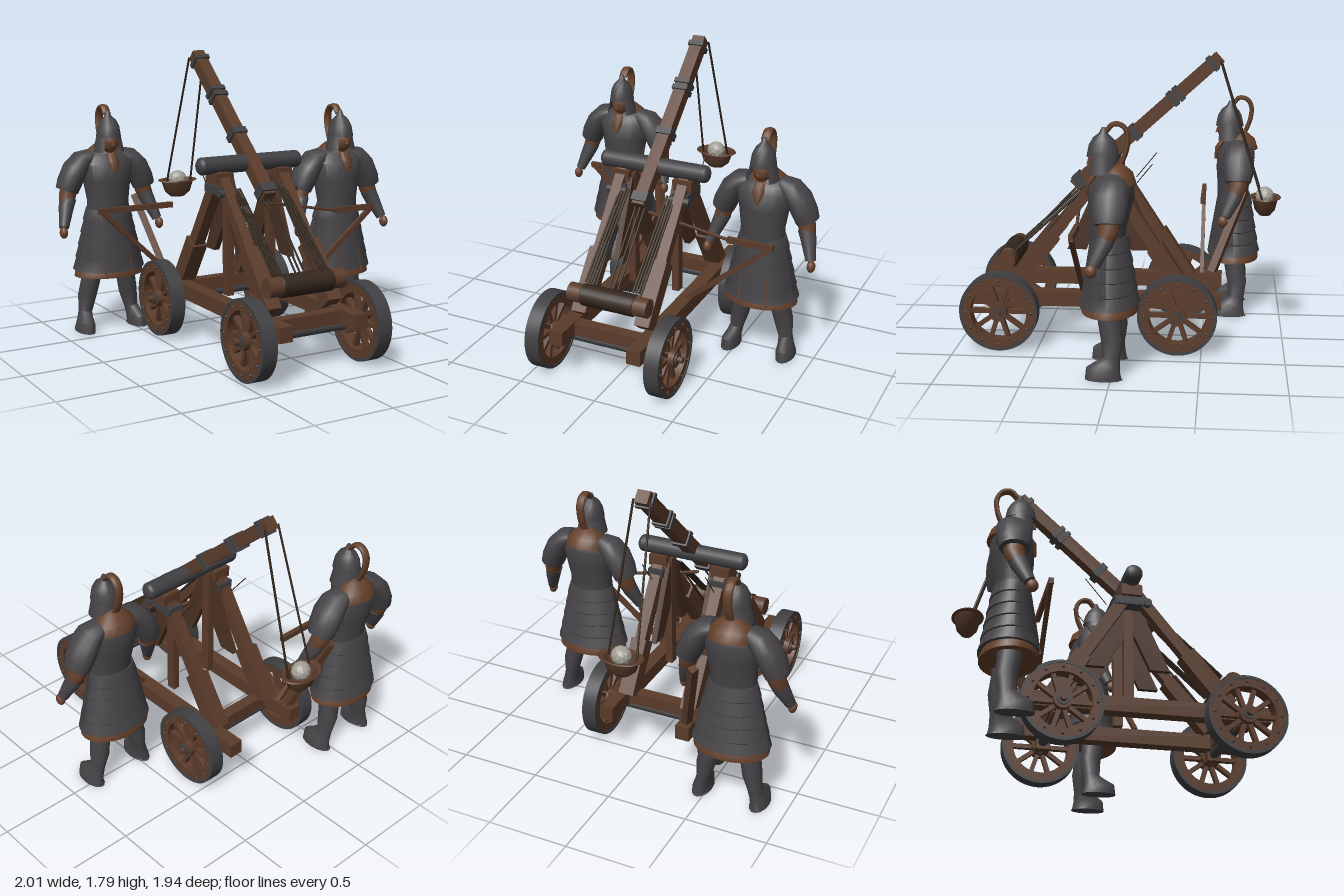
import * as THREE from 'three';
import { toCreasedNormals } from 'three/addons/utils/BufferGeometryUtils.js';

const V = (x, y, z) => new THREE.Vector3(x, y, z);
const CX = -0.043; // centre line of the engine

export function createModel() {
  const mat = (name, color, side = THREE.FrontSide) => {
    const m = new THREE.MeshStandardMaterial({ color, side });
    m.name = name;
    return m;
  };
  const wood = mat('wood', 0x5a3b2a);
  const darkWood = mat('dark wood', 0x4a3022);
  const rope = mat('rope', 0x33261c);
  const iron = mat('iron', 0x404043);
  const armour = mat('armour', 0x454346, THREE.DoubleSide);
  const cloth = mat('brown cloth', 0x64402a, THREE.DoubleSide);
  const skin = mat('skin', 0x6b432f);
  const stone = mat('stone', 0xa3a196);

  const model = new THREE.Group();
  const add = (parent, name, geo, m, x = 0, y = 0, z = 0) => {
    const mesh = new THREE.Mesh(geo, m);
    mesh.name = name;
    mesh.position.set(x, y, z);
    parent.add(mesh);
    return mesh;
  };
  const box = (p, name, w, h, d, m, x, y, z) => add(p, name, new THREE.BoxGeometry(w, h, d), m, x, y, z);
  // lays a geometry built along y between two points
  const span = (p, name, geo, m, a, b) => {
    const mesh = add(p, name, geo, m);
    mesh.position.copy(a).add(b).multiplyScalar(0.5);
    mesh.quaternion.setFromUnitVectors(V(0, 1, 0), b.clone().sub(a).normalize());
    return mesh;
  };
  const beam = (p, name, a, b, w, d, m = wood) => span(p, name, new THREE.BoxGeometry(w, a.distanceTo(b), d), m, a, b);
  const cord = (p, name, a, b, r = 0.006, m = rope) => span(p, name, new THREE.CylinderGeometry(r, r, a.distanceTo(b), 6), m, a, b);
  const barX = (p, name, r, len, m, x, y, z, seg = 16) => {
    const mesh = add(p, name, new THREE.CylinderGeometry(r, r, len, seg), m, x, y, z);
    mesh.rotation.z = Math.PI / 2;
    return mesh;
  };
  // closed skin over elliptical rings [x, y, z, halfWidth, halfDepth]
  const sweep = (rings, n = 18) => {
    const pos = [], idx = [], c = rings.map((r) => V(r[0], r[1], r[2])), last = rings.length - 1;
    rings.forEach((r, i) => {
      const t = c[Math.min(i + 1, last)].clone().sub(c[Math.max(i - 1, 0)]).normalize();
      const u = t.clone().cross(V(0, 0, 1)).normalize(), v = u.clone().cross(t);
      for (let j = 0; j < n; j++) {
        const a = (j / n) * Math.PI * 2;
        pos.push(...c[i].clone().addScaledVector(u, Math.cos(a) * r[3]).addScaledVector(v, Math.sin(a) * r[4]).toArray());
      }
    });
    const s = pos.length / 3;
    pos.push(...c[0].toArray(), ...c[last].toArray());
    for (let j = 0; j < n; j++) {
      const k = (j + 1) % n;
      for (let i = 0; i < last; i++) {
        const a = i * n + j, b = i * n + k;
        idx.push(a, a + n, b, b, a + n, b + n);
      }
      idx.push(s, j, k, s + 1, last * n + k, last * n + j);
    }
    const g = new THREE.BufferGeometry();
    g.setAttribute('position', new THREE.Float32BufferAttribute(pos, 3));
    g.setIndex(idx);
    g.computeVertexNormals();
    return toCreasedNormals(g, 0.8);
  };

  // ---- Carriage ----
  const carriage = new THREE.Group();
  carriage.name = 'carriage';
  model.add(carriage);
  for (const s of [-1, 1]) box(carriage, 'sideRail', 0.088, 0.092, 1.53, wood, CX + s * 0.255, 0.295, 0.15);
  for (const z of [0.73, -0.355]) {
    box(carriage, 'crossBeam', 0.44, 0.08, 0.075, wood, CX, 0.295, z);
    barX(carriage, 'axle', 0.03, 0.8, iron, CX, 0.235, z);
    for (const s of [-1, 1]) {
      box(carriage, 'axleBlock', 0.1, 0.1, 0.085, wood, CX + s * 0.31, 0.24, z);
      makeWheel(s, z);
    }
  }

  // ---- Wheel: iron tyre, wooden felloe, spokes, hub, studs ----
  function makeWheel(s, z) {
    const w = new THREE.Group();
    w.name = 'wheel';
    const ring = (name, r0, r1, d, m) => {
      const sh = new THREE.Shape().absarc(0, 0, r1, 0, Math.PI * 2);
      sh.holes.push(new THREE.Path().absarc(0, 0, r0, 0, Math.PI * 2, true));
      const g = new THREE.ExtrudeGeometry(sh, { depth: d, bevelEnabled: false, curveSegments: 28 });
      g.translate(0, 0, -d / 2);
      add(w, name, toCreasedNormals(g, 0.6), m);
    };
    ring('tyre', 0.222, 0.24, 0.092, iron);
    ring('felloe', 0.172, 0.223, 0.084, wood);
    for (let i = 0; i < 10; i++) {
      const a = (i / 10) * Math.PI * 2;
      beam(w, 'spoke', V(Math.cos(a) * 0.04, Math.sin(a) * 0.04, 0), V(Math.cos(a) * 0.18, Math.sin(a) * 0.18, 0), 0.026, 0.035);
    }
    const disc = (name, r, d, m, x, y, zz) => {
      add(w, name, new THREE.CylinderGeometry(r, r, d, 16), m, x, y, zz).rotation.x = Math.PI / 2;
    };
    disc('hub', 0.055, 0.11, wood, 0, 0, 0);
    disc('hubCap', 0.036, 0.13, iron, 0, 0, 0);
    disc('axlePin', 0.02, 0.17, wood, 0, 0, 0.01);
    for (let i = 0; i < 12; i++) {
      const a = (i / 12) * Math.PI * 2;
      add(w, 'stud', new THREE.SphereGeometry(0.009, 8, 6), iron, Math.cos(a) * 0.2, Math.sin(a) * 0.2, 0.044);
    }
    w.rotation.y = s * Math.PI / 2;
    w.position.set(CX + s * 0.391, 0.24, z);
    carriage.add(w);
  }

  // ---- Supporting frame ----
  const frame = new THREE.Group();
  frame.name = 'frame';
  model.add(frame);
  for (const s of [-1, 1]) {
    const x = CX + s * 0.21;
    const foot = V(x, 0.36, 0.68), top = V(x, 1.08, 0.1), backFoot = V(x, 0.32, -0.4), backTop = V(x, 1.03, 0.06);
    beam(frame, 'frontLeg', foot, top, 0.065, 0.065);
    beam(frame, 'frontLegShoe', foot, foot.clone().lerp(top, 0.44), 0.095, 0.105);
    beam(frame, 'backLeg', backFoot, backTop, 0.07, 0.075);
    beam(frame, 'backLegShoe', backFoot, backFoot.clone().lerp(backTop, 0.42), 0.1, 0.105);
    // flared inner board
    const sh = new THREE.Shape([[-0.34, 0.58], [-0.22, 0.58], [-0.1, 0.84], [0.06, 0.58], [0.17, 0.58], [-0.04, 1.05], [-0.13, 1.05]].map((p) => new THREE.Vector2(...p)));
    const board = add(frame, 'innerBoard', new THREE.ExtrudeGeometry(sh, { depth: 0.035, bevelEnabled: false }), darkWood, CX + s * 0.15 - 0.0175, 0, 0);
    board.rotation.y = Math.PI / 2;
    box(frame, 'innerPost', 0.045, 0.75, 0.06, wood, CX + s * 0.15, 0.7, 0.085);
    box(frame, 'bearingBlock', 0.12, 0.07, 0.13, wood, x, 1.06, 0.085);
    box(frame, 'topBracket', 0.1, 0.05, 0.2, iron, x, 0.99, 0.085);
    for (const d of [-0.04, 0.04]) barX(frame, 'bracketPin', 0.025, 0.05, iron, x + d, 0.98, 0.185, 10);
    // tackle ropes to the winch
    for (let i = 0; i < 4; i++) {
      const rx = CX + s * (0.13 + i * 0.018);
      cord(frame, 'tackleRope', V(rx, 1.0, 0.19), V(rx, 0.57, 0.66), 0.007);
      if (i % 2) cord(frame, 'slackRope', V(rx, 0.98, 0.19), V(rx, 0.5, 0.62), 0.007);
    }
    cord(frame, 'looseRopeEnd', V(x, 0.97, -0.06), V(x, 1.13, -0.19), 0.003);
  }
  barX(frame, 'pivotRoller', 0.054, 0.66, iron, CX, 1.137, 0.085, 20);
  for (const s of [-1, 1]) add(frame, 'rollerEnd', new THREE.SphereGeometry(0.054, 20, 12), iron, CX + s * 0.33, 1.137, 0.085).scale.x = 0.65;

  // ---- Winch with wound rope ----
  barX(frame, 'winchDrum', 0.058, 0.52, wood, CX, 0.515, 0.71);
  const coil = [];
  for (let i = 0; i <= 44; i++) coil.push(new THREE.Vector2(i % 2 ? 0.068 : 0.06, -0.175 + (i * 0.35) / 44));
  add(frame, 'woundRope', new THREE.LatheGeometry(coil, 20), rope, CX, 0.515, 0.71).rotation.z = Math.PI / 2;

  // ---- Throwing arm ----
  const low = V(CX, 0.955, 0.31), high = V(CX, 1.76, -0.585);
  beam(model, 'throwingArm', low, high, 0.08, 0.078);
  for (const [t, len] of [[0.04, 0.06], [0.42, 0.045], [0.68, 0.03], [0.72, 0.03], [0.95, 0.03]]) {
    const p = low.clone().lerp(high, t), d = high.clone().sub(low).setLength(len / 2);
    beam(model, 'armBand', p.clone().sub(d), p.clone().add(d), 0.1, 0.1, iron);
  }
  for (const d of [-0.03, 0, 0.03]) cord(model, 'armRope', V(CX + d, 0.95, 0.29), V(CX + d, 0.55, 0.67));

  // ---- Sling, bowl and boulder ----
  for (const s of [-1, 1]) cord(model, 'slingRope', V(CX + s * 0.052, 1.74, -0.59), V(CX + s * 0.09, 0.88, -0.86), 0.007);
  const bowl = [[0, 0], [0.05, 0.006], [0.09, 0.04], [0.115, 0.11], [0.14, 0.115], [0.135, 0.122], [0.105, 0.115], [0.08, 0.05], [0, 0.025]];
  const bowlMesh = add(model, 'slingBowl', toCreasedNormals(new THREE.LatheGeometry(bowl.map((p) => new THREE.Vector2(...p)), 24), 0.7), wood, CX, 0.78, -0.875);
  bowlMesh.scale.z = 0.7;
  const boulder = new THREE.IcosahedronGeometry(0.062, 1);
  boulder.scale(1, 0.95, 0.92);
  add(model, 'boulder', boulder, stone, CX, 0.905, -0.872);
  stone.flatShading = true;

  // ---- Push bars and struts ----
  beam(model, 'pushBar', V(0.5, 0.81, 0.23), V(0.79, 0.81, 0.23), 0.035, 0.028);
  beam(model, 'pushStrut', V(0.77, 0.8, 0.23), V(0.24, 0.36, 0.23), 0.03, 0.025);
  cord(model, 'pushRod', V(0, 0.91, 0.27), V(0.5, 0.81, 0.23), 0.01, wood);
  beam(model, 'pushBar', V(-0.8, 0.81, -0.485), V(-0.285, 0.81, -0.485), 0.035, 0.028);
  beam(model, 'pushStrut', V(-0.77, 0.8, -0.485), V(-0.28, 0.33, -0.485), 0.03, 0.025);
  beam(model, 'leaningStrut', V(-0.43, 0.85, -0.75), V(-0.3, 0.34, -0.55), 0.05, 0.045);

  // ---- Soldiers ----
  function makeSoldier() {
    const g = new THREE.Group();
    g.name = 'soldier';
    add(g, 'torso', sweep([[0, 0.76, 0.03, 0.14, 0.105], [0, 0.85, 0.03, 0.138, 0.105], [0, 0.97, 0.02, 0.155, 0.125],
      [0, 1.08, 0.015, 0.18, 0.125], [0, 1.14, 0.01, 0.15, 0.1], [0, 1.18, 0.03, 0.07, 0.065]]), armour);
    // lamellar skirt in overlapping rows
    const rows = [];
    for (let i = 0; i < 5; i++) {
      const r = 0.145 + i * 0.018, y = 0.8 - i * 0.08;
      rows.push([0, y, 0.025, r, r * 0.73], [0, y - 0.074, 0.022, r + 0.022, r * 0.73 + 0.016]);
    }
    add(g, 'skirt', sweep(rows, 24), armour);
    add(g, 'underskirt', sweep([[0, 0.44, 0.022, 0.2, 0.14], [0, 0.385, 0.022, 0.225, 0.165], [0, 0.36, 0.022, 0.23, 0.165]], 24), cloth);
    for (const s of [-1, 1]) {
      beam(g, 'skirtSlit', V(s * 0.088, 0.385, 0.181), V(s * 0.077, 0.55, 0.155), 0.016, 0.008, cloth);
      const m = (rings) => sweep(rings.map(([x, ...r]) => [s * x, ...r]), 14);
      add(g, 'boot', m([[0.182, 0, 0.04, 0.056, 0.11], [0.182, 0.035, 0.04, 0.055, 0.108], [0.172, 0.075, 0.015, 0.045, 0.075],
        [0.162, 0.12, 0.0, 0.042, 0.052], [0.145, 0.22, -0.005, 0.058, 0.064], [0.125, 0.32, 0.01, 0.06, 0.068], [0.115, 0.43, 0.015, 0.07, 0.075]]), armour);
      add(g, 'sleeve', m([[0.1, 1.135, 0.0, 0.045, 0.07], [0.16, 1.11, 0, 0.065, 0.095], [0.21, 1.05, 0, 0.077, 0.105],
        [0.25, 0.97, 0.0, 0.075, 0.1], [0.268, 0.92, 0.0, 0.07, 0.085]]), armour);
      add(g, 'underSleeve', m([[0.245, 0.96, 0, 0.055, 0.065], [0.265, 0.89, 0.0, 0.052, 0.06], [0.28, 0.835, 0.02, 0.046, 0.05]]), cloth);
      add(g, 'bracer', m([[0.265, 0.87, 0.01, 0.05, 0.055], [0.285, 0.82, 0.025, 0.047, 0.052], [0.325, 0.7, 0.08, 0.03, 0.034]]), armour);
      add(g, 'hand', new THREE.SphereGeometry(0.03, 12, 10), skin, s * 0.333, 0.672, 0.095).scale.set(0.85, 1.25, 1.1);
    }
    // scarf, knot and hanging point
    add(g, 'scarf', sweep([[0, 1.09, -0.005, 0.145, 0.125], [0, 1.13, 0.0, 0.14, 0.115], [0, 1.165, 0.02, 0.1, 0.09], [0, 1.19, 0.035, 0.065, 0.065]]), cloth);
    add(g, 'scarfPoint', sweep([[0, 1.15, 0.105, 0.03, 0.018], [0, 1.1, 0.138, 0.038, 0.02], [0, 1.03, 0.15, 0.008, 0.008]], 10), cloth);
    // head and helmet
    add(g, 'head', new THREE.SphereGeometry(0.068, 16, 12), skin, 0, 1.23, 0.066).scale.set(0.88, 1.15, 1.1);
    add(g, 'nose', new THREE.ConeGeometry(0.012, 0.04, 6), skin, 0, 1.23, 0.142);
    add(g, 'helmet', sweep([[0, 1.255, 0.06, 0.078, 0.092], [0, 1.27, 0.06, 0.076, 0.09], [0, 1.32, 0.06, 0.068, 0.08],
      [0, 1.36, 0.058, 0.05, 0.058], [0, 1.388, 0.056, 0.022, 0.026], [0, 1.42, 0.055, 0.01, 0.011]]), armour);
    const guard = new THREE.CylinderGeometry(0.076, 0.097, 0.105, 20, 1, true, 0.72, Math.PI * 2 - 1.44);
    add(g, 'neckGuard', guard, armour, 0, 1.215, 0.06);
    const plume = new THREE.CatmullRomCurve3([[1.4, 0.04], [1.44, 0], [1.432, -0.05], [1.385, -0.08], [1.3, -0.075], [1.22, -0.045]].map((p) => V(0, ...p)));
    add(g, 'plume', new THREE.TubeGeometry(plume, 20, 0.015, 8), cloth).scale.x = 1.9;
    return g;
  }
  for (const [x, z] of [[0.648, 0], [-0.648, -0.71]]) {
    const soldier = makeSoldier();
    soldier.position.set(x, 0, z);
    model.add(soldier);
  }
  return model;
}
